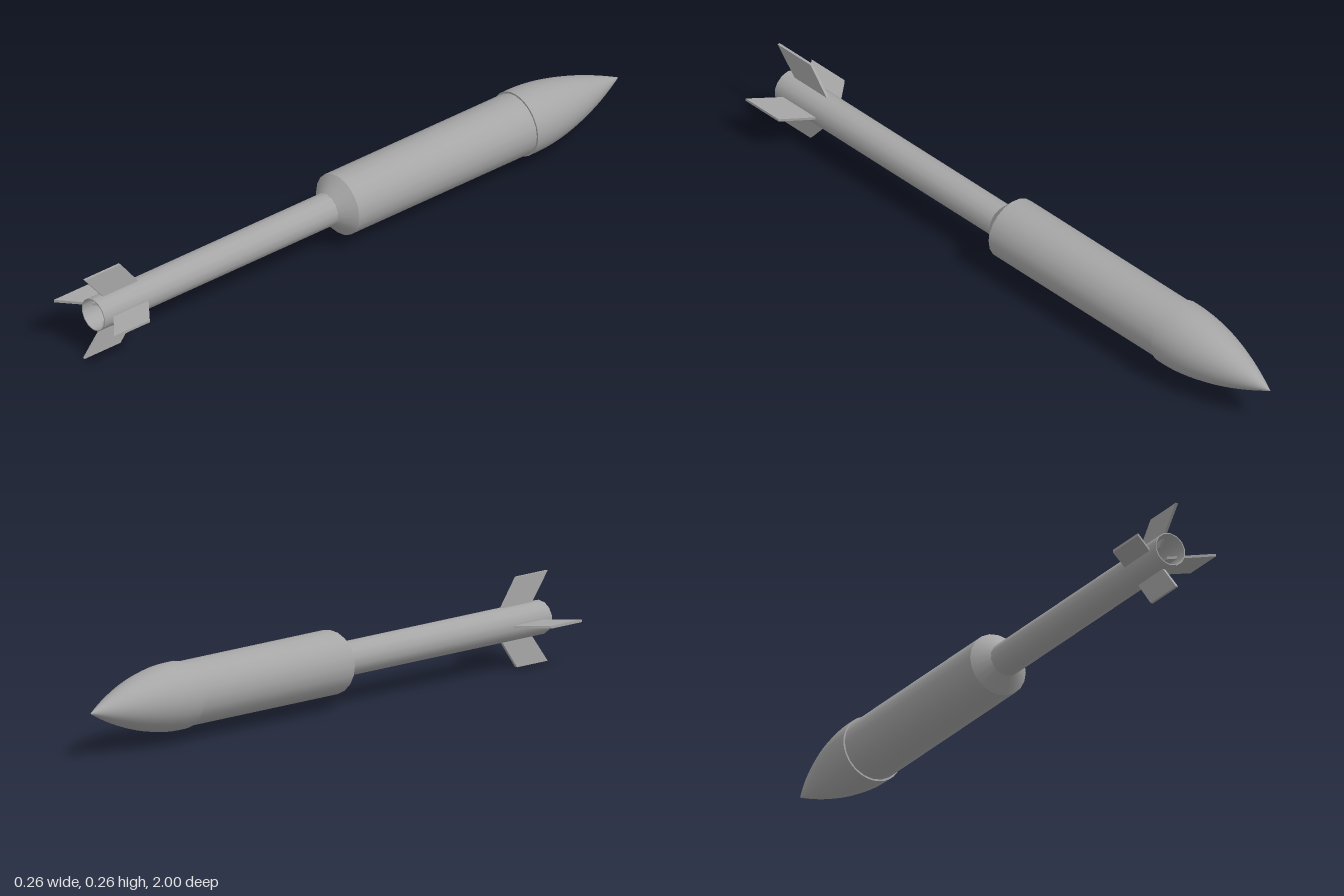
import * as THREE from 'three';
import { mergeGeometries } from 'three/addons/utils/BufferGeometryUtils.js';

const AXIS_Y = 0.13;
const grey = new THREE.MeshStandardMaterial({ color: 0xa6a6a6 });
grey.name = 'grey';

// Lathe about the z axis; each profile is smooth, with sharp edges between profiles
function turned(name, sides, ...profiles) {
  const parts = profiles.map((p) =>
    new THREE.LatheGeometry(p.map(([r, z]) => new THREE.Vector2(r, z)), sides).rotateX(Math.PI / 2));
  const mesh = new THREE.Mesh(mergeGeometries(parts), grey);
  mesh.name = name;
  return mesh;
}

export function createModel() {
  const rocket = new THREE.Group();
  rocket.name = 'rocket';
  const hull = new THREE.Group();
  hull.name = 'hull';
  hull.position.y = AXIS_Y;
  rocket.add(hull);

  // Nose: curved tip, short straight skirt and rear lip
  const curve = [];
  for (let i = 0; i <= 16; i++) {
    const u = 1 - i / 16;
    curve.push([0.098 * (1 - Math.pow(u, 1.8)), -0.64 - 0.36 * u]);
  }
  curve.push([0.098, -0.615]);
  hull.add(turned('noseCone', 32, curve, [[0.098, -0.615], [0.09, -0.615]]));

  // Wide body and the taper down to the motor tube
  hull.add(turned('body', 20, [[0.093, -0.62], [0.093, 0.05]]));
  hull.add(turned('taper', 20, [[0.093, 0.05], [0.049, 0.092]]));

  // Hollow motor tube with its inner bulkhead
  hull.add(turned('motorTube', 14,
    [[0.05, 0.08], [0.05, 0.965]],
    [[0.05, 0.965], [0.047, 0.965]],
    [[0.047, 0.965], [0.047, 0.6]],
    [[0.047, 0.6], [0, 0.6]]));

  // Small igniter strip on the bulkhead
  const igniter = new THREE.Mesh(new THREE.BoxGeometry(0.006, 0.025, 0.006), grey);
  igniter.name = 'igniter';
  igniter.position.z = 0.603;
  igniter.rotation.z = -0.2;
  hull.add(igniter);

  // Four swept fins, whose roots pass through the tube wall
  const outline = new THREE.Shape([[0.78, 0.024], [0.91, 0.024], [1, 0.13], [0.866, 0.13]]
    .map(([z, r]) => new THREE.Vector2(z, r)));
  const finGeometry = new THREE.ExtrudeGeometry(outline, { depth: 0.008, bevelEnabled: false })
    .translate(0, 0, -0.004)
    .rotateY(-Math.PI / 2);
  for (let i = 0; i < 4; i++) {
    const fin = new THREE.Mesh(finGeometry, grey);
    fin.name = 'fin' + (i + 1);
    fin.rotation.z = i * Math.PI / 2;
    hull.add(fin);
  }
  return rocket;
}
